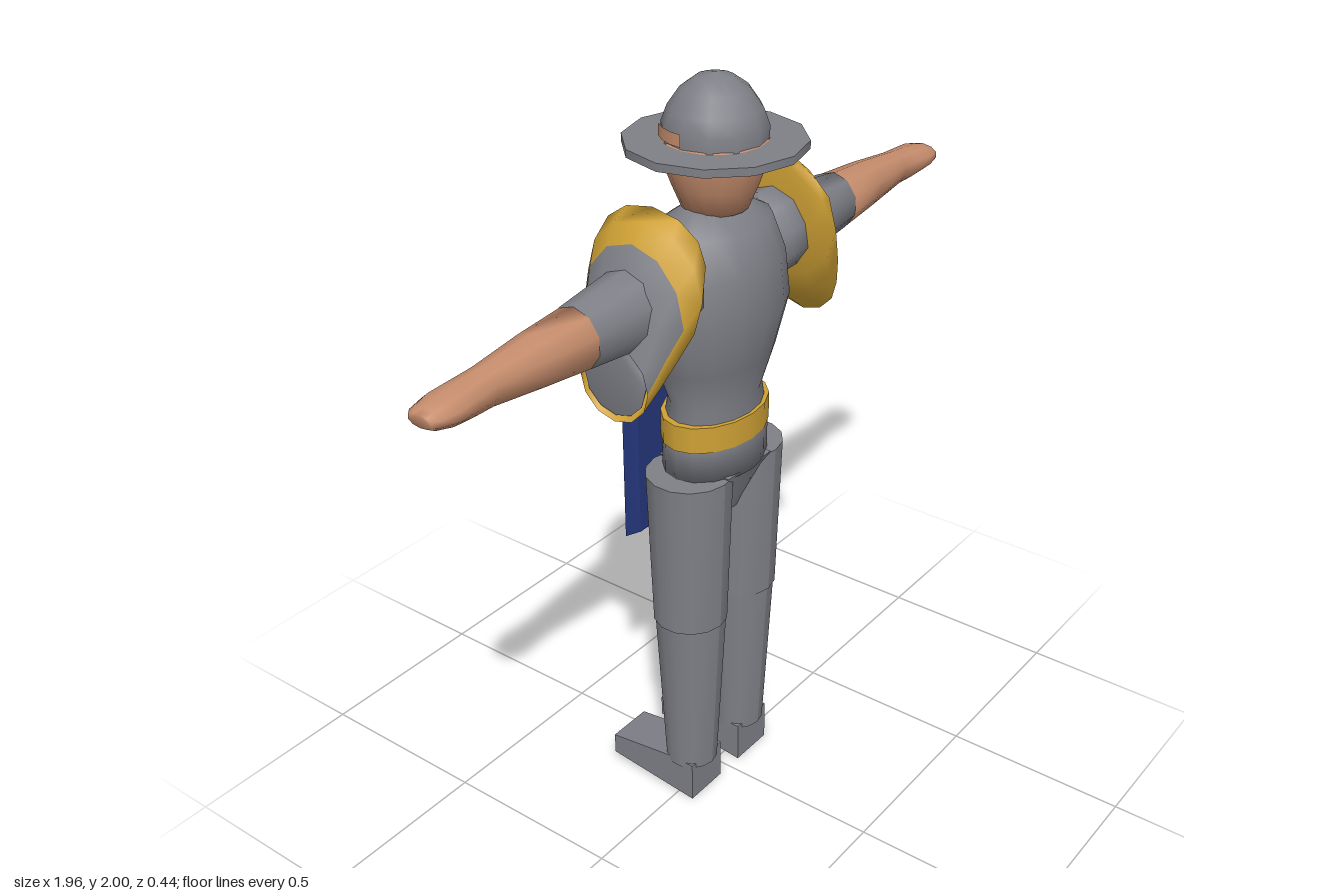
import * as THREE from 'three';

const mat = (name, color, side = THREE.FrontSide) => {
  const m = new THREE.MeshStandardMaterial({ color, side });
  m.name = name;
  return m;
};

// Skin of elliptical rings [x, yLow, yHigh, zRadius] strung along x; s mirrors it.
// pick(ring, segment) selects the material group of each face.
function loft(rings, s, sides, caps = [true, true], pick = () => 0) {
  const pos = [], faces = [[], []];
  rings.forEach(([x, lo, hi, rz]) => {
    for (let j = 0; j < sides; j++) {
      const a = (j / sides) * Math.PI * 2;
      pos.push(s * x, (lo + hi) / 2 + Math.cos(a) * (hi - lo) / 2, Math.sin(a) * rz);
    }
  });
  const tri = (g, a, b, c) => (s > 0 ? faces[g].push(a, b, c) : faces[g].push(a, c, b));
  for (let i = 0; i < rings.length - 1; i++) {
    for (let j = 0; j < sides; j++) {
      const k = (j + 1) % sides, a = i * sides + j, b = i * sides + k;
      tri(pick(i, j), a, b, a + sides);
      tri(pick(i, j), b, b + sides, a + sides);
    }
  }
  const last = (rings.length - 1) * sides;
  for (let j = 1; j < sides - 1; j++) {
    if (caps[0]) tri(0, 0, j + 1, j);
    if (caps[1]) tri(0, last, last + j, last + j + 1);
  }
  const g = new THREE.BufferGeometry();
  g.setAttribute('position', new THREE.Float32BufferAttribute(pos, 3));
  g.setIndex([...faces[0], ...faces[1]]);
  g.addGroup(0, faces[0].length, 0);
  g.addGroup(faces[0].length, faces[1].length, 1);
  g.computeVertexNormals();
  return g;
}

export function createModel() {
  const root = new THREE.Group();
  const gray = mat('steel gray', 0x7f8087);
  const skin = mat('skin', 0xc58c6c);
  const gold = mat('gold', 0xcfa135, THREE.DoubleSide);
  const grayShell = gray;
  const navy = mat('navy', 0x25367c);

  const add = (name, geo, m, x = 0, y = 0, z = 0) => {
    const mesh = new THREE.Mesh(geo, m);
    mesh.name = name;
    mesh.position.set(x, y, z);
    root.add(mesh);
    return mesh;
  };
  const lathe = (pts, sides = 16) =>
    new THREE.LatheGeometry(pts.map(([r, y]) => new THREE.Vector2(r, y)), sides);

  // Head and wide brimmed helmet
  add('head', lathe([[0, 1.67], [0.08, 1.68], [0.105, 1.74], [0.126, 1.80], [0.126, 1.85], [0, 1.86]]), skin);
  add('helmetDome', lathe([[0.125, 1.83], [0.127, 1.88], [0.112, 1.92], [0.082, 1.963], [0.045, 1.99], [0, 2]], 12), gray);
  add('helmetBrim', new THREE.CylinderGeometry(0.22, 0.22, 0.02, 12), gray, 0, 1.837);
  add('headBand', new THREE.CylinderGeometry(0.131, 0.132, 0.03, 12, 1, true, Math.PI / 2, Math.PI), skin, 0, 1.872);

  // Torso, belt and crotch plate
  add('torso', lathe([[0, 1.0], [0.16, 1.0], [0.16, 1.09], [0.142, 1.2], [0.18, 1.3], [0.22, 1.43],
    [0.205, 1.55], [0.165, 1.645], [0.08, 1.69], [0, 1.69]]), gray).scale.z = 0.72;
  add('belt', new THREE.CylinderGeometry(0.166, 0.166, 0.07, 16), gold, 0, 1.125).scale.z = 0.7;
  const crotch = new THREE.CylinderGeometry(0.127, 0.064, 0.145, 4);
  crotch.rotateY(Math.PI / 4);
  add('crotch', crotch, gray, 0, 0.937).scale.z = 1.22;

  // Shield on the back: shallow bent section, with a gold plate
  const section = new THREE.Shape([[-0.17, 0.162], [-0.13, 0.186], [0.13, 0.186], [0.17, 0.162], [0.13, 0.145], [-0.13, 0.145]]
    .map(([x, y]) => new THREE.Vector2(x, y)));
  const shield = new THREE.ExtrudeGeometry(section, { depth: 0.73, bevelEnabled: false });
  shield.rotateX(-Math.PI / 2);
  add('shield', shield, navy, 0, 0.78);
  add('shieldPlate', new THREE.BoxGeometry(0.16, 0.17, 0.02), gold, 0, 1.335, -0.192);

  // Side profile of a foot, toes toward -z
  const sole = new THREE.Shape([[-0.05, 0], [0.225, 0.03], [0.225, 0.09], [0.03, 0.115], [-0.05, 0.115]]
    .map(([x, y]) => new THREE.Vector2(x, y)));
  const foot = new THREE.ExtrudeGeometry(sole, { depth: 0.13, bevelEnabled: false });
  foot.translate(0, 0, -0.065);
  foot.rotateY(Math.PI / 2);

  // Pauldron rings
  const pad = [[0.235, 1.54, 1.75, 0.15], [0.27, 1.41, 1.725, 0.166], [0.31, 1.345, 1.685, 0.145],
    [0.35, 1.30, 1.60, 0.125], [0.387, 1.27, 1.47, 0.1]];

  for (const s of [1, -1]) {
    const side = s > 0 ? 'left' : 'right';

    // Legs: slanted cones, top centre shifted outward
    const leg = (name, y0, y1, x0, x1, r0, r1) => {
      const h = y1 - y0;
      const g = new THREE.CylinderGeometry(r1, r0, h, 14);
      const p = g.attributes.position;
      for (let i = 0; i < p.count; i++) {
        const t = p.getY(i) / h + 0.5;
        p.setX(i, p.getX(i) + s * (x0 + (x1 - x0) * t));
      }
      g.computeVertexNormals();
      add(side + name, g, gray, 0, (y0 + y1) / 2);
    };
    leg('Thigh', 0.57, 1.005, 0.108, 0.108, 0.098, 0.112);
    leg('Shin', 0.1, 0.58, 0.107, 0.107, 0.07, 0.095);
    add(side + 'Foot', foot, gray, s * 0.106);

    // Arms
    add(side + 'UpperArm', loft([[0.13, 1.46, 1.62, 0.07], [0.18, 1.435, 1.655, 0.108], [0.24, 1.435, 1.655, 0.105],
      [0.31, 1.435, 1.635, 0.092], [0.51, 1.455, 1.608, 0.074]], s, 10), gray);
    add(side + 'Forearm', loft([[0.505, 1.455, 1.607, 0.074], [0.65, 1.47, 1.597, 0.062], [0.80, 1.488, 1.58, 0.047],
      [0.86, 1.49, 1.575, 0.05], [0.92, 1.497, 1.568, 0.056], [0.965, 1.508, 1.557, 0.046], [0.98, 1.517, 1.547, 0.034]], s, 10), skin);

    // Pauldron: gold rim and underside, gray outer face, gray lower end
    const under = (i, j) => (i < 2 || (j >= 3 && j <= 8) ? 0 : 1);
    add(side + 'Pauldron', loft(pad, s, 12, [true, false], under), [gold, grayShell]);
    add(side + 'PauldronEnd', loft([[0.36, 1.31, 1.45, 0.08], [0.382, 1.285, 1.462, 0.09]], s, 12), gray);
  }
  return root;
}
